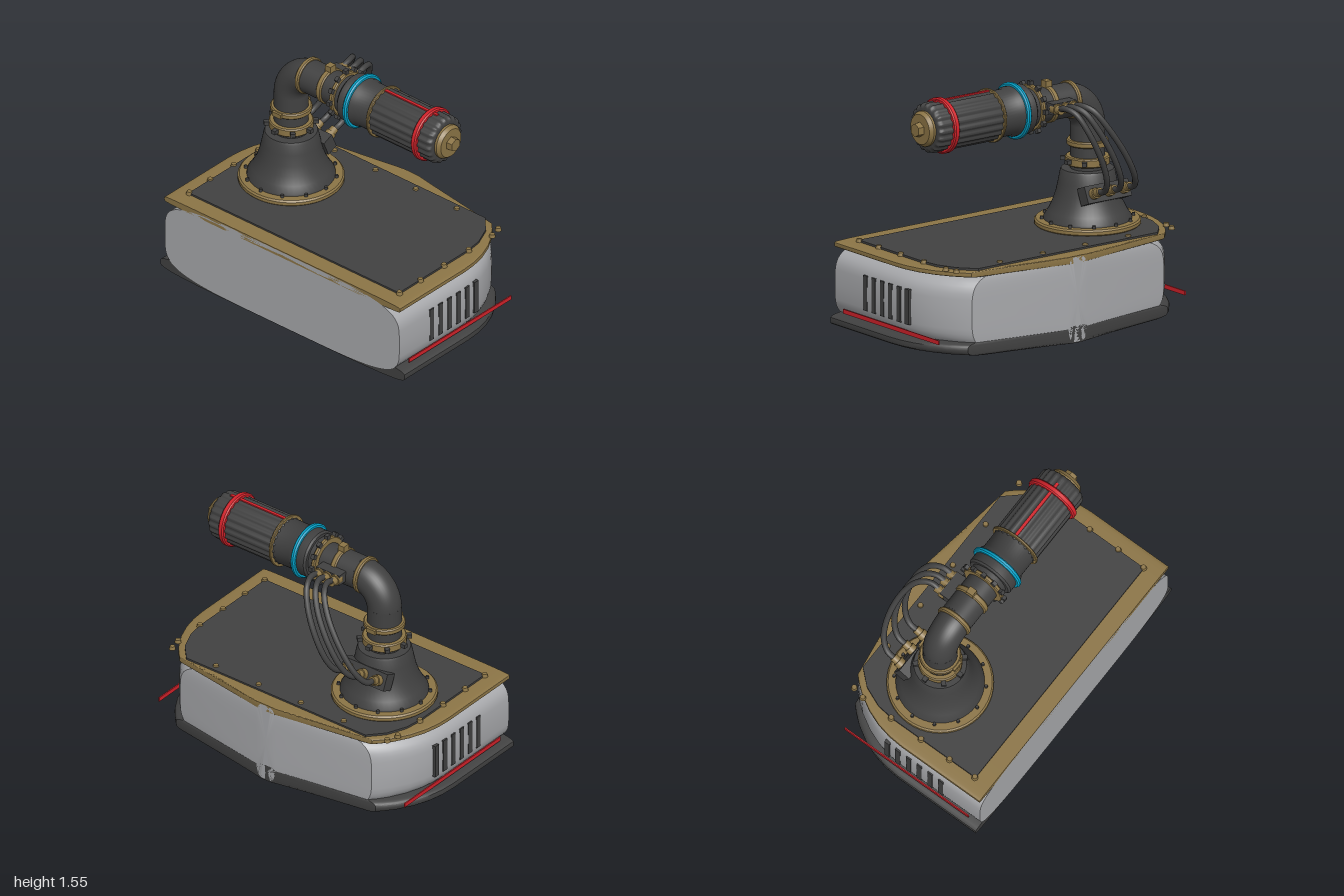
import * as THREE from 'three';
import { toCreasedNormals } from 'three/addons/utils/BufferGeometryUtils.js';

const mat = (name, color) => {
  const m = new THREE.MeshStandardMaterial({ color });
  m.name = name;
  return m;
};

export function createModel() {
  const dark = mat('dark metal', 0x414141);
  const gold = mat('brass', 0x8c7546);
  const grey = mat('grey hull', 0xa8a9ac);
  const red = mat('red trim', 0xd3222a);
  const cyan = mat('cyan trim', 0x00a2c9);
  const model = new THREE.Group();

  const add = (parent, name, geo, material, x = 0, y = 0, z = 0) => {
    const mesh = new THREE.Mesh(geo, material);
    mesh.name = name;
    mesh.position.set(x, y, z);
    parent.add(mesh);
    return mesh;
  };
  const group = (parent, name, x, y, z) => {
    const g = new THREE.Group();
    g.name = name;
    g.position.set(x, y, z);
    parent.add(g);
    return g;
  };
  // Turned part from [radius, height] pairs
  const turned = (pts, seg = 48) =>
    toCreasedNormals(new THREE.LatheGeometry(pts.map(p => new THREE.Vector2(...p)), seg), 0.6);
  // Solid collar with small chamfers
  const collar = (r, y0, y1, b = 0.007) =>
    turned([[0, y0], [r - b, y0], [r, y0 + b], [r, y1 - b], [r - b, y1], [0, y1]]);

  // Hull plan: [z, half width] from front to back
  const plan = [[0.6, 1], [0.2, 1], [0, 1], [-0.1, 0.992], [-0.2, 0.97], [-0.3, 0.93],
    [-0.4, 0.87], [-0.46, 0.82], [-0.5, 0.78], [-0.6, 0.08]];
  // Superellipse cross-sections following the plan
  const hullLayer = (scale, yMid, yHalf, n, inset = 0) => {
    const N = 64, pos = [], idx = [];
    const pw = v => Math.sign(v) * Math.pow(Math.abs(v), 2 / n);
    for (const [z, w] of plan) {
      for (let j = 0; j < N; j++) {
        const a = (j / N) * Math.PI * 2;
        pos.push(pw(Math.cos(a)) * w * scale, yMid + pw(Math.sin(a)) * yHalf,
          z === 0.6 ? z - inset : z);
      }
    }
    const last = plan.length - 1, front = pos.length / 3, back = front + 1;
    pos.push(0, yMid, 0.6 - inset, 0, yMid, -0.6);
    for (let j = 0; j < N; j++) {
      const k = (j + 1) % N;
      for (let i = 0; i < last; i++) {
        const a = i * N + j, b = i * N + k, d = a + N, c = b + N;
        idx.push(a, d, b, b, d, c);
      }
      idx.push(front, j, k, back, last * N + k, last * N + j);
    }
    const geo = new THREE.BufferGeometry();
    geo.setAttribute('position', new THREE.Float32BufferAttribute(pos, 3));
    geo.setIndex(idx);
    return toCreasedNormals(geo, 0.6);
  };

  // Hull
  const hull = group(model, 'hull', 0, 0, 0);
  add(hull, 'baseSkirt', hullLayer(1, 0.055, 0.055, 4, 0.004), dark);
  add(hull, 'hullBody', hullLayer(0.96, 0.277, 0.27, 4.4), grey);
  add(hull, 'deckRim', hullLayer(0.965, 0.531, 0.023, 7), gold);

  // Dark deck panel inside the rim
  const half = [[0.86, 0.49], [0.86, -0.15], [0.845, -0.27], [0.79, -0.4], [0.7, -0.5]];
  const deckPts = [...half, ...half.slice().reverse().map(([x, z]) => [-x, z])];
  const deck = new THREE.ExtrudeGeometry(
    new THREE.Shape(deckPts.map(([x, z]) => new THREE.Vector2(x, -z))),
    { depth: 0.014, bevelEnabled: false });
  add(hull, 'deckPanel', deck.rotateX(-Math.PI / 2), dark, 0, 0.551, 0);

  // Rim bolts, side vents and side trim
  const bolt = new THREE.CylinderGeometry(0.016, 0.021, 0.022, 12);
  for (const s of [-1, 1]) {
    for (const [x, z] of [[0.86, 0.485], [0.86, 0.29], [0.86, 0.07], [0.86, -0.16], [0.86, -0.38],
      [0.84, -0.46], [0.5, -0.46], [0.165, -0.46]]) {
      add(hull, 'rimBolt', bolt, gold, s * x, 0.564, z);
    }
    for (let i = 0; i < 6; i++) {
      add(hull, 'sideVent', new THREE.BoxGeometry(0.03, 0.225, 0.037), dark,
        s * 0.947, 0.283, 0.297 - i * 0.083);
    }
    add(hull, 'sideTrim', new THREE.BoxGeometry(0.008, 0.027, 0.955), red, s * 0.96, 0.122, 0.035);
  }

  // Pedestal
  const ped = group(model, 'pedestal', -0.5, 0, -0.055);
  add(ped, 'pedestalFlange', collar(0.33, 0.562, 0.602, 0.01), gold);
  add(ped, 'pedestalCone', turned([[0.275, 0.598], [0.272, 0.615], [0.245, 0.655], [0.218, 0.71],
    [0.198, 0.77], [0.183, 0.84], [0.17, 0.905], [0.163, 0.92], [0, 0.92]]), dark);
  for (let i = 0; i < 12; i++) {
    const a = (i / 12) * Math.PI * 2;
    add(ped, 'flangeBolt', new THREE.CylinderGeometry(0.01, 0.012, 0.024, 8), dark,
      Math.sin(a) * 0.285, 0.608, Math.cos(a) * 0.285);
  }
  add(ped, 'neckPipe', new THREE.CylinderGeometry(0.108, 0.108, 0.3, 48), dark, 0, 1.06, 0);
  add(ped, 'neckCollar', collar(0.138, 0.945, 1.0), gold);
  add(ped, 'upperNeckCollar', collar(0.13, 1.068, 1.105), gold);
  add(ped, 'upperCollarClamp', new THREE.BoxGeometry(0.07, 0.03, 0.28), gold, 0, 1.087, 0);

  // Radial studs around a collar
  const studs = (parent, y, r, count) => {
    for (let i = 0; i < count; i++) {
      const a = (i / count) * Math.PI * 2;
      const m = add(parent, 'collarStud', new THREE.BoxGeometry(0.03, 0.026, 0.045), dark,
        Math.sin(a) * r, y, Math.cos(a) * r);
      m.rotation.y = a;
    }
  };
  studs(ped, 0.975, 0.147, 8);

  // Elbow pipe
  const R = 0.18;
  const elbow = new THREE.CurvePath();
  elbow.add(new THREE.QuadraticBezierCurve3(new THREE.Vector3(-0.5, 1.15, 0),
    new THREE.Vector3(-0.5, 1.17, 0), new THREE.Vector3(-0.5, 1.375 - R, 0)));
  const k = R * 0.5523;
  elbow.add(new THREE.CubicBezierCurve3(new THREE.Vector3(-0.5, 1.375 - R, 0),
    new THREE.Vector3(-0.5, 1.375 - R + k, 0), new THREE.Vector3(-0.5 + R - k, 1.375, 0),
    new THREE.Vector3(-0.5 + R, 1.375, 0)));
  add(model, 'elbowPipe', new THREE.TubeGeometry(elbow, 32, 0.108, 40), dark, 0, 0, -0.055);

  // Barrel: local y runs along world x, local -x is up
  const arm = group(model, 'barrel', 0, 1.375, -0.055);
  arm.rotation.z = -Math.PI / 2;
  add(arm, 'armPipe', new THREE.CylinderGeometry(0.108, 0.108, 0.36, 48), dark, 0, -0.15, 0);
  add(arm, 'elbowCollar', collar(0.12, -0.372, -0.34), gold);
  add(arm, 'hoseCollar', collar(0.118, -0.2, -0.16), gold);
  add(arm, 'hoseCollarClamp', new THREE.BoxGeometry(0.06, 0.045, 0.05), gold, -0.122, -0.18, 0);
  add(arm, 'studCollar', collar(0.147, -0.068, -0.038), gold);
  studs(arm, -0.053, 0.147, 12);
  add(arm, 'barrelSleeve', turned([[0, -0.04], [0.125, -0.04], [0.125, 0], [0.145, 0], [0.157, 0.012],
    [0.157, 0.12], [0.147, 0.135], [0.147, 0.27], [0, 0.27]]), dark);
  add(arm, 'cyanRing', collar(0.179, 0.068, 0.1, 0.009), cyan);
  add(arm, 'thinCollar', collar(0.17, 0.257, 0.274, 0.004), gold);

  // Fluted casing
  const flutes = [];
  for (let i = 0; i < 160; i++) {
    const a = (i / 160) * Math.PI * 2, r = 0.153 + 0.005 * Math.cos(a * 20);
    flutes.push(new THREE.Vector2(Math.cos(a) * r, Math.sin(a) * r));
  }
  const casing = new THREE.ExtrudeGeometry(new THREE.Shape(flutes), { depth: 0.46,
    bevelThickness: 0.035, bevelSize: 0.025, bevelOffset: -0.025, bevelSegments: 4 });
  add(arm, 'flutedCasing', toCreasedNormals(casing.rotateX(-Math.PI / 2), 0.6), dark, 0, 0.275, 0);
  add(arm, 'redRing', collar(0.176, 0.628, 0.667, 0.008), red);
  add(arm, 'topStripe', new THREE.BoxGeometry(0.008, 0.43, 0.02), red, -0.159, 0.485, 0);
  add(arm, 'endCap', turned([[0, 0.76], [0.112, 0.76], [0.112, 0.785], [0.095, 0.808], [0, 0.808]]), gold);
  add(arm, 'hexTip', toCreasedNormals(new THREE.CylinderGeometry(0.043, 0.047, 0.045, 6), 0.3),
    gold, 0, 0.825, 0).rotation.y = Math.PI / 6;

  // Hose manifolds and hoses
  const lower = group(model, 'lowerManifold', -0.5, 0.795, -0.225);
  lower.rotation.x = 0.4;
  add(lower, 'manifoldBlock', new THREE.BoxGeometry(0.34, 0.11, 0.08), dark);
  const upper = group(model, 'upperManifold', -0.19, 1.385, -0.19);
  add(upper, 'manifoldBlock', new THREE.BoxGeometry(0.18, 0.07, 0.07), dark);
  const fitting = (parent, x, z) => {
    add(parent, 'hoseFitting', new THREE.CylinderGeometry(0.035, 0.035, 0.04, 16), gold, x, 0, z)
      .rotation.x = Math.PI / 2;
    add(parent, 'hoseFerrule', new THREE.CylinderGeometry(0.027, 0.027, 0.045, 16), gold, x, 0, z - 0.035)
      .rotation.x = Math.PI / 2;
  };
  for (let i = -1; i <= 1; i++) {
    const x0 = -0.5 + i * 0.115, x1 = -0.19 + i * 0.062;
    fitting(lower, i * 0.115, -0.055);
    fitting(upper, i * 0.062, -0.025);
    const at = (t, y, z) => new THREE.Vector3(x0 + (x1 - x0) * t, y, z);
    const path = new THREE.CatmullRomCurve3([at(0, 0.83, -0.3), at(0.01, 0.85, -0.375),
      at(0.12, 0.93, -0.436), at(0.38, 1.09, -0.465), at(0.7, 1.27, -0.442),
      at(0.9, 1.38, -0.385), at(1, 1.405, -0.31), at(1, 1.385, -0.23)]);
    add(model, 'hose', new THREE.TubeGeometry(path, 48, 0.019, 12), dark);
  }
  return model;
}
